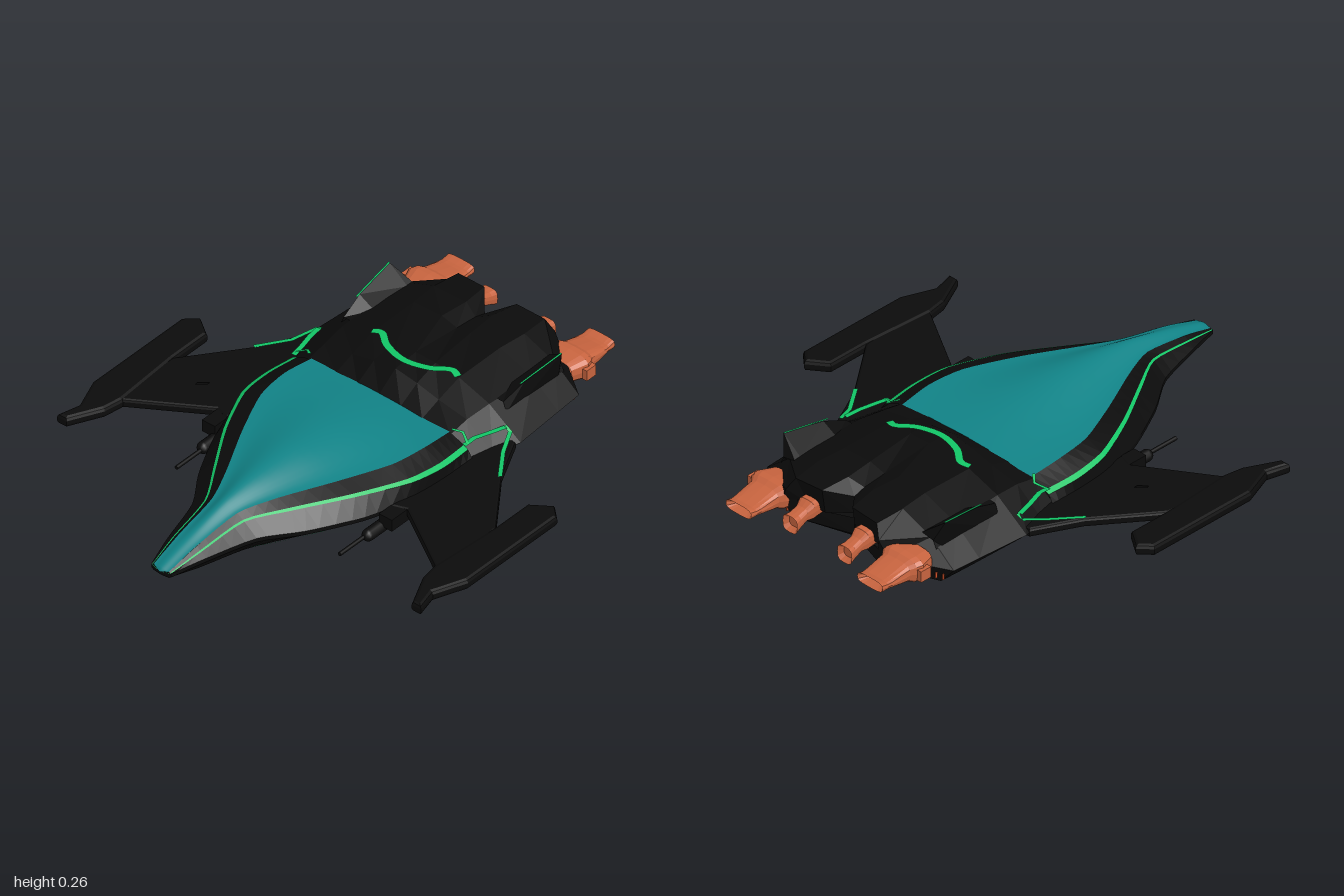
import * as THREE from 'three';

const paint = (name, color) => {
  const m = new THREE.MeshStandardMaterial({ color, side: THREE.DoubleSide });
  m.name = name;
  return m;
};
const V = (x, y, z) => new THREE.Vector3(x, y, z);

export function createModel() {
  const black = paint('black', 0x0b0b0b);
  const teal = paint('teal', 0x118387);
  const green = paint('green', 0x12c566);
  const copper = paint('copper', 0xc8643f);
  const orange = paint('orange', 0xd2522a);
  const ship = new THREE.Group();
  ship.name = 'spaceship';

  function add(name, geo, mat) {
    const mesh = new THREE.Mesh(geo, mat);
    mesh.name = name;
    ship.add(mesh);
    return mesh;
  }

  // Skin over rows of points
  function loft(name, rows, mat, smooth = false) {
    const n = rows[0].length, index = [];
    for (let i = 0; i < rows.length - 1; i++)
      for (let j = 0; j < n - 1; j++) {
        const a = i * n + j, b = a + n;
        index.push(a, b, a + 1, b, b + 1, a + 1);
      }
    let geo = new THREE.BufferGeometry().setFromPoints(rows.flat());
    geo.setIndex(index);
    if (!smooth) geo = geo.toNonIndexed();
    geo.computeVertexNormals();
    return add(name, geo, mat);
  }

  // Smooth each column of rows lengthwise
  function refine(rows, steps = 28) {
    const cols = rows[0].map((_, j) => new THREE.CatmullRomCurve3(rows.map(r => r[j]), false, 'catmullrom', 0.35).getPoints(steps));
    return cols[0].map((_, i) => cols.map(c => c[i]));
  }

  // Flat strip of given width along a path
  function ribbon(name, pts, width, mat) {
    const rows = pts.map((p, i) => {
      const d = pts[Math.min(i + 1, pts.length - 1)].clone().sub(pts[Math.max(i - 1, 0)]);
      const side = V(-d.z, 0, d.x).normalize().multiplyScalar(width / 2);
      return [p.clone().add(side), p.clone().sub(side)];
    });
    return loft(name, rows, mat);
  }

  // Horizontal plate cut from an outline of [x, z]
  function plate(name, outline, s, top, depth, bevel, mat, hole) {
    const toV2 = list => list.map(([x, z]) => new THREE.Vector2(x * s, z));
    const shape = new THREE.Shape(toV2(outline));
    if (hole) shape.holes.push(new THREE.Path(toV2(hole)));
    const geo = new THREE.ExtrudeGeometry(shape, {
      depth: depth - 2 * bevel, bevelEnabled: bevel > 0, bevelThickness: bevel, bevelSize: bevel, bevelOffset: -bevel, bevelSegments: 2,
    });
    geo.rotateX(Math.PI / 2).translate(0, top - bevel, 0);
    return add(name, geo, mat);
  }

  // Forward hull: z, canopy half-width, canopy edge y, canopy top y, line x, line y, line width, chine x, chine y, keel x, keel y
  const keys = [
    [0.99, 0.035, 0.096, 0.103, 0.04, 0.092, 0.003, 0.046, 0.085, 0.035, 0.07],
    [0.85, 0.045, 0.135, 0.146, 0.06, 0.122, 0.006, 0.09, 0.095, 0.06, 0.047],
    [0.65, 0.06, 0.17, 0.197, 0.085, 0.152, 0.008, 0.15, 0.095, 0.09, 0.022],
    [0.5, 0.12, 0.18, 0.22, 0.17, 0.16, 0.012, 0.25, 0.09, 0.15, 0.012],
    [0.3, 0.22, 0.186, 0.233, 0.29, 0.165, 0.014, 0.35, 0.085, 0.22, 0.004],
    [0.1, 0.305, 0.187, 0.222, 0.378, 0.16, 0.018, 0.41, 0.085, 0.3, 0.004],
    [-0.05, 0.325, 0.184, 0.202, 0.395, 0.15, 0.02, 0.425, 0.085, 0.33, 0.004],
    [-0.19, 0.32, 0.168, 0.177, 0.385, 0.142, 0.02, 0.43, 0.085, 0.35, 0.005],
  ];
  const nose = row => row.map(() => V(0, 0.087, 1));
  const strip = (name, fn, mat, smooth) => {
    const rows = refine(keys.map(fn));
    return loft(name, [nose(rows[0]), ...rows], mat, smooth);
  };
  strip('canopy', ([z, w, e, t]) => Array.from({ length: 17 }, (_, j) => {
    const u = j / 8 - 1;
    return V(u * w, e + (t - e) * (0.5 + 0.5 * Math.cos(u * Math.PI)), z);
  }), teal, true);
  for (const s of [1, -1]) {
    strip('canopyFrame', ([z, w, e, , gx, gy]) => [V(s * w, e, z), V(s * gx, gy, z)], black);
    strip('hullLine', ([z, , , , gx, gy, gw]) => [V(s * gx, gy, z), V(s * (gx + gw), gy - gw * 0.5, z)], green);
    strip('hullSide', ([z, , , , gx, gy, gw, mx, my, bx, by]) =>
      [V(s * (gx + gw), gy - gw * 0.5, z), V(s * mx, my + 0.008, z), V(s * mx, my - 0.008, z), V(s * bx, by, z), V(0, by - 0.004, z)], black);
    // Thin underside inlay
    loft('keelLine', refine(keys.slice(2).map(([z, , , , , , , mx, my, bx, by]) => [0.42, 0.48].map(t =>
      V(s * (mx + (bx - mx) * t + 0.003), my - 0.008 + (by - my + 0.008) * t - 0.004, z)))), green);
  }

  // Rear hull: half sections mirrored across the centre
  const rear = [
    [[0, 0.175, -0.18], [0.1, 0.173, -0.18], [0.2, 0.17, -0.18], [0.33, 0.163, -0.18], [0.43, 0.09, -0.18], [0.36, 0.01, -0.18], [0, 0.002, -0.18]],
    [[0, 0.24, -0.27], [0.1, 0.225, -0.27], [0.2, 0.202, -0.27], [0.33, 0.18, -0.27], [0.45, 0.09, -0.27], [0.38, 0.01, -0.27], [0, 0.002, -0.27]],
    [[0, 0.248, -0.38], [0.09, 0.246, -0.38], [0.2, 0.236, -0.38], [0.34, 0.19, -0.38], [0.485, 0.09, -0.38], [0.4, 0.012, -0.38], [0, 0.004, -0.38]],
    [[0, 0.225, -0.6], [0.07, 0.243, -0.6], [0.2, 0.238, -0.6], [0.35, 0.185, -0.6], [0.47, 0.09, -0.6], [0.4, 0.014, -0.6], [0, 0.006, -0.6]],
    [[0, 0.215, -0.7], [0.06, 0.24, -0.72], [0.21, 0.235, -0.72], [0.35, 0.18, -0.72], [0.462, 0.09, -0.72], [0.4, 0.018, -0.72], [0, 0.012, -0.72]],
    [[0, 0.2, -0.75], [0.075, 0.23, -0.835], [0.2, 0.225, -0.84], [0.23, 0.175, -0.86], [0.26, 0.11, -0.845], [0.22, 0.05, -0.835], [0, 0.04, -0.75]],
    [[0, 0.13, -0.75], [0.075, 0.13, -0.82], [0.16, 0.13, -0.82], [0.2, 0.13, -0.83], [0.2, 0.11, -0.83], [0.16, 0.11, -0.82], [0, 0.11, -0.75]],
  ];
  loft('rearHull', rear.map(row => [
    ...row.map(p => V(...p)),
    ...row.slice(0, -1).reverse().map(([x, y, z]) => V(-x, y, z)),
  ]), black);

  // Green arch on the deck lip
  ribbon('deckArch', new THREE.CatmullRomCurve3([
    [-0.2, 0.244, -0.375], [-0.165, 0.249, -0.385], [-0.1, 0.251, -0.34], [0, 0.251, -0.315],
    [0.1, 0.251, -0.34], [0.165, 0.249, -0.385], [0.2, 0.244, -0.375],
  ].map(p => V(...p))).getPoints(30), 0.028, green);

  // Nozzle skinned over rounded sections [z, halfWidth, halfHeight, y]
  function nozzle(name, x, sections) {
    const soft = v => Math.sign(v) * Math.pow(Math.abs(v), 0.6);
    loft(name, sections.map(([z, w, h, y]) => Array.from({ length: 17 }, (_, j) => {
      const a = j / 16 * Math.PI * 2;
      return V(x + w * soft(Math.cos(a)), y + h * soft(Math.sin(a)), z);
    })), copper);
  }

  for (const s of [1, -1]) {
    // Swept wing and its tip blade
    plate('wing', [[0.38, -0.38], [0.48, -0.36], [0.57, -0.18], [0.75, 0.06], [0.78, 0.36], [0.725, 0.36], [0.44, 0.18], [0.38, 0.2]],
      s, 0.103, 0.036, 0.01, black, s < 0 ? [[0.55, 0.07], [0.6, 0.11], [0.59, 0.14], [0.545, 0.105]] : null);
    const tip = [[0.742, -0.12], [0.82, -0.175], [0.87, -0.13], [0.87, 0.35], [0.82, 0.48], [0.843, 0.572], [0.8, 0.572], [0.735, 0.44], [0.722, 0.36], [0.742, 0.06]];
    plate('wingTip', tip, s, 0.107, 0.044, 0.014, black);
    ribbon('wingTipLine', [[0.745, -0.118], [0.82, -0.17], [0.866, -0.13], [0.866, 0.34]].map(([x, z]) => V(s * x, 0.096, z)), 0.004, green);

    // Green trim joining the hull to the wing
    ribbon('shoulderTrim', [[0.395, 0.152, -0.18], [0.4, 0.158, -0.23], [0.42, 0.153, -0.3], [0.432, 0.146, -0.36]].map(([x, y, z]) => V(s * x, y, z)), 0.02, green);
    ribbon('shoulderTrim', [[0.425, 0.146, -0.365], [0.45, 0.132, -0.365], [0.49, 0.112, -0.28], [0.57, 0.107, -0.17]].map(([x, y, z]) => V(s * x, y, z)), 0.016, green);
    ribbon('cornerTrim', [[0.33, 0.185, -0.19], [0.36, 0.172, -0.215], [0.405, 0.155, -0.19]].map(([x, y, z]) => V(s * x, y, z)), 0.012, green);

    // Deck fin with a green upper edge
    const fin = [[-0.42, 0.37, 0.19], [-0.52, 0.382, 0.227], [-0.7, 0.4, 0.255], [-0.73, 0.37, 0.18]];
    loft('deckFin', fin.map(([z, x, y]) => [V(s * 0.315, 0.19, z), V(s * x, y, z), V(s * 0.385, 0.15, z)]), black);
    ribbon('deckFinEdge', [V(s * 0.38, 0.229, -0.5), V(s * 0.398, 0.256, -0.7)], 0.007, green);

    // Gun pod, barrel and side block
    const pod = add('gunPod', new THREE.CapsuleGeometry(0.024, 0.28, 4, 12), black);
    pod.rotation.x = Math.PI / 2;
    pod.position.set(s * 0.382, 0.042, 0.18);
    const barrel = add('gunBarrel', new THREE.CylinderGeometry(0.008, 0.008, 0.2, 10), black);
    barrel.rotation.x = Math.PI / 2;
    barrel.position.set(s * 0.378, 0.042, 0.37);
    add('sideBlock', new THREE.BoxGeometry(0.06, 0.05, 0.28), black).position.set(s * 0.41, 0.075, 0.12);

    // Large outer and small inner engine nozzles
    nozzle('outerNozzle', s * 0.325, [
      [-0.76, 0.07, 0.04, 0.115], [-0.825, 0.095, 0.05, 0.115], [-0.85, 0.088, 0.048, 0.114], [-0.87, 0.072, 0.038, 0.112],
      [-0.95, 0.066, 0.018, 0.108], [-0.97, 0.064, 0.015, 0.108], [-1, 0.063, 0.021, 0.11], [-0.97, 0.04, 0.008, 0.11], [-0.97, 0, 0, 0.11]]);
    add('nozzleFlange', new THREE.BoxGeometry(0.02, 0.045, 0.05), copper).position.set(s * 0.42, 0.11, -0.825);
    nozzle('innerNozzle', s * 0.135, [
      [-0.78, 0.035, 0.035, 0.14], [-0.85, 0.04, 0.036, 0.135], [-0.875, 0.03, 0.026, 0.125],
      [-0.91, 0.032, 0.028, 0.112], [-0.935, 0.036, 0.034, 0.106], [-0.915, 0.022, 0.02, 0.108], [-0.915, 0, 0, 0.108]]);

    // Small orange marks along the stern edge
    for (let i = 0; i < 9; i++) {
      const t = i / 8;
      const mark = add('sternMark', new THREE.BoxGeometry(0.004, 0.022, 0.008), orange);
      mark.position.set(s * (0.425 - 0.18 * t), 0.055 + 0.022 * t, -0.735 - 0.103 * t);
    }
  }
  return ship;
}
